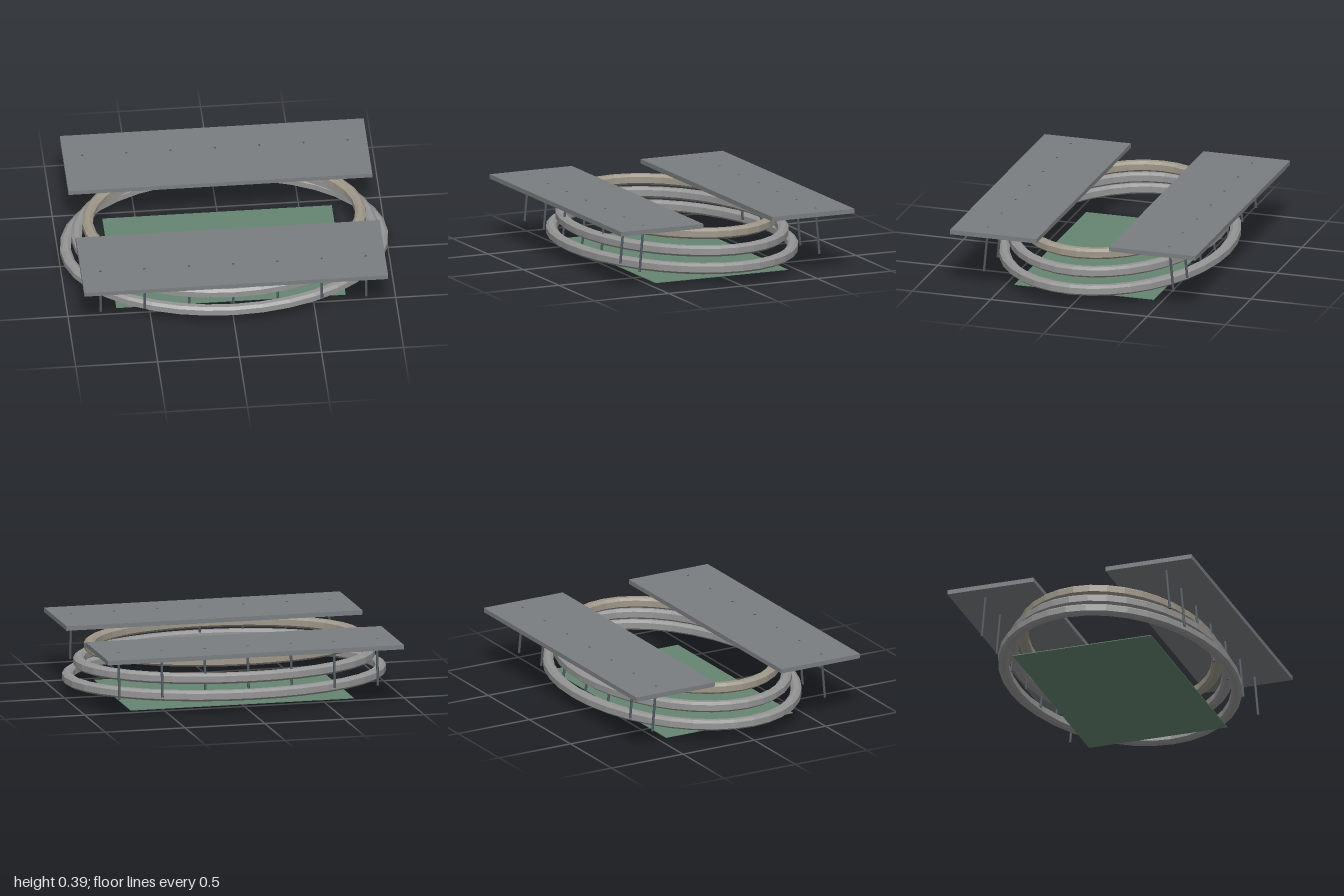
import * as THREE from 'three';

const material = (color, flatShading = false) => new THREE.MeshStandardMaterial({ color, flatShading });

// Chamfered cross-section of a seating ring: [radial offset, height offset], counter-clockwise
const W = 0.0325, H = 0.0325, CW = 0.018, CH = 0.014;
const PROFILE = [
  [W, -H + CH], [W, H - CH], [W - CW, H], [-W + CW, H],
  [-W, H - CH], [-W, -H + CH], [-W + CW, -H], [W - CW, -H],
];

// Sweeps the profile around a faceted ellipse with outer radii a and b
function ellipseRing(a, b, segments = 36) {
  const positions = [], index = [], n = PROFILE.length;
  for (let i = 0; i < segments; i++) {
    const t = (i / segments) * Math.PI * 2;
    const next = (i + 1) % segments;
    PROFILE.forEach(([r, y], j) => {
      positions.push((a - W + r) * Math.cos(t), y, (b - W + r) * Math.sin(t));
      const k = (j + 1) % n;
      const p = i * n + j, q = i * n + k, s = next * n + k, u = next * n + j;
      index.push(p, q, s, p, s, u);
    });
  }
  const geometry = new THREE.BufferGeometry();
  geometry.setAttribute('position', new THREE.Float32BufferAttribute(positions, 3));
  geometry.setIndex(index);
  geometry.computeVertexNormals();
  return geometry;
}

// Round post between two points
function post(from, to, radius, mat) {
  const dir = to.clone().sub(from);
  const mesh = new THREE.Mesh(new THREE.CylinderGeometry(radius, radius, dir.length(), 8), mat);
  mesh.position.copy(from).add(to).multiplyScalar(0.5);
  mesh.quaternion.setFromUnitVectors(new THREE.Vector3(0, 1, 0), dir.normalize());
  return mesh;
}

export function createModel() {
  const model = new THREE.Group();
  const add = (mesh, name, x = 0, y = 0, z = 0) => {
    mesh.name = name;
    mesh.position.set(x, y, z);
    model.add(mesh);
  };

  // Playing field
  add(new THREE.Mesh(new THREE.BoxGeometry(1.4, 0.004, 0.89), material(0x668573)), 'field', 0, 0.002, 0);

  // Three stacked seating tiers, narrowing upwards
  const tiers = [
    ['lowerTier', 1.0, 0.703, 0.112, 0x959595],
    ['middleTier', 0.932, 0.648, 0.207, 0x959595],
    ['upperTier', 0.865, 0.587, 0.302, 0x9e978a],
  ];
  for (const [name, a, b, y, color] of tiers) {
    add(new THREE.Mesh(ellipseRing(a, b), material(color, true)), name, 0, y, 0);
  }

  // Roof slabs with a row of leaning posts on the front and back
  const roofMaterial = material(0x7a7e80);
  const postMaterial = material(0x505860);
  for (const [side, s] of [['front', 1], ['back', -1]]) {
    add(new THREE.Mesh(new THREE.BoxGeometry(1.854, 0.028, 0.553), roofMaterial), side + 'Roof', 0, 0.379, s * 0.508);
    const posts = new THREE.Group();
    posts.name = side + 'Posts';
    for (let i = -3; i <= 3; i++) {
      const x = i * 0.27;
      const mesh = post(new THREE.Vector3(x, 0.108, s * 0.605), new THREE.Vector3(x, 0.394, s * 0.579), 0.008, postMaterial);
      mesh.name = side + 'Post';
      posts.add(mesh);
    }
    model.add(posts);
  }
  return model;
}
